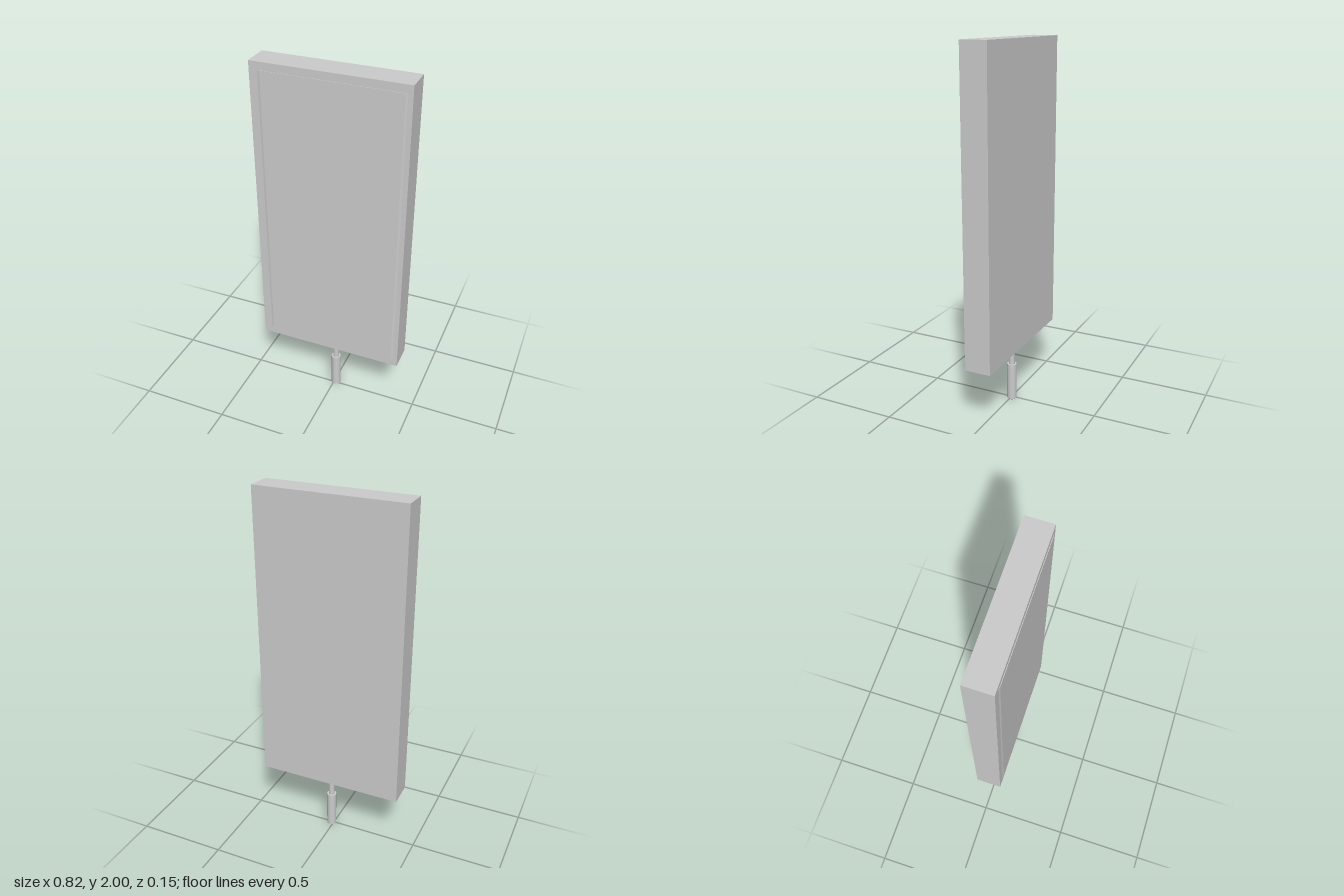
import * as THREE from 'three';

const material = new THREE.MeshStandardMaterial({ color: 0xcccccc });

function add(group, name, geometry, x, y, z) {
  const mesh = new THREE.Mesh(geometry, material);
  mesh.name = name;
  mesh.position.set(x, y, z);
  group.add(mesh);
  return mesh;
}

export function createModel() {
  const group = new THREE.Group();
  group.name = 'signOnPost';

  // Sign board
  const bottom = 0.335, top = 2, back = -0.075, front = 0.07;
  add(group, 'board', new THREE.BoxGeometry(0.82, top - bottom, front - back),
    0, (top + bottom) / 2, (front + back) / 2);

  // Thin front panel, edges sloping in towards its face
  const panel = new THREE.BoxGeometry(0.75, 1.58, 0.003).toNonIndexed();
  const p = panel.attributes.position;
  for (let i = 0; i < p.count; i++) {
    if (p.getZ(i) > 0) p.setX(i, p.getX(i) - Math.sign(p.getX(i)) * 0.012);
  }
  panel.computeVertexNormals();
  add(group, 'frontPanel', panel, 0.01, 1.168, front + 0.0015);

  // Two-stage post under the board
  const postX = 0.012, postZ = -0.006;
  add(group, 'upperPost', new THREE.CylinderGeometry(0.017, 0.017, 0.14, 16), postX, 0.275, postZ);
  add(group, 'lowerPost', new THREE.CylinderGeometry(0.027, 0.027, 0.211, 24), postX, 0.1095, postZ);
  add(group, 'postFoot', new THREE.CylinderGeometry(0.027, 0.023, 0.004, 24), postX, 0.002, postZ);

  return group;
}
